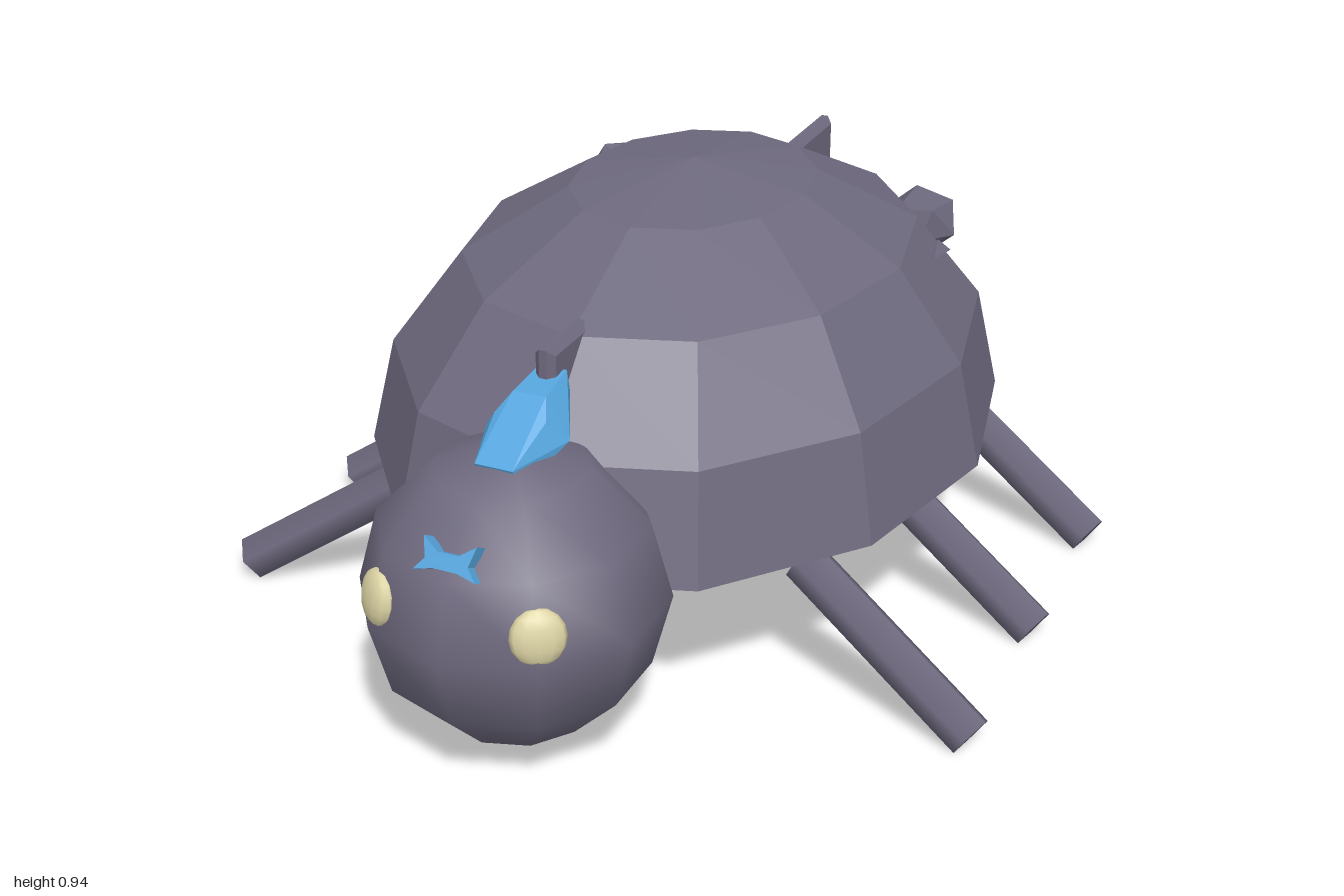
import * as THREE from 'three';
import { ConvexGeometry } from 'three/addons/geometries/ConvexGeometry.js';

// give every face its own normal
function facet(geometry) {
  const g = geometry.index ? geometry.toNonIndexed() : geometry;
  g.computeVertexNormals();
  return g;
}

export function createModel() {
  const model = new THREE.Group();
  model.name = 'beetle';
  const material = (name, color) => {
    const m = new THREE.MeshStandardMaterial({ color });
    m.name = name;
    return m;
  };
  const grey = material('slate grey', 0x6e697e);
  const blue = material('sky blue', 0x55a5dd);
  const cream = material('cream', 0xdcd3a4);

  const add = (name, geometry, mat, x = 0, y = 0, z = 0) => {
    const mesh = new THREE.Mesh(geometry, mat);
    mesh.name = name;
    mesh.position.set(x, y, z);
    model.add(mesh);
    return mesh;
  };

  // faceted half-ellipsoid shell and its flat underside
  const dome = new THREE.SphereGeometry(1, 12, 4, 0, Math.PI * 2, 0, Math.PI / 2);
  dome.scale(0.67, 0.6, 0.84);
  add('shell', facet(dome), grey, 0, 0.355, -0.16);
  const base = new THREE.CircleGeometry(1, 12).rotateX(Math.PI / 2).scale(0.67, 1, 0.84);
  add('underside', base, grey, 0, 0.355, -0.16);

  // smooth head with a meridian at the very front
  const head = new THREE.SphereGeometry(0.31, 10, 6).rotateY(Math.PI / 2);
  add('head', head, grey, 0, 0.35, 0.69);

  // long bevelled keel that pokes out of the shell at front and back
  const keelShape = new THREE.Shape();
  keelShape.moveTo(-0.945, 0.42);
  keelShape.lineTo(0.54, 0.42);
  keelShape.lineTo(0.54, 0.785);
  keelShape.lineTo(-0.945, 0.785);
  const keel = new THREE.ExtrudeGeometry(keelShape, {
    depth: 0.016, bevelEnabled: true, bevelSegments: 1, bevelSize: 0.014, bevelThickness: 0.014,
  });
  keel.translate(0, 0, -0.008).rotateY(-Math.PI / 2);
  add('keel', keel, grey);

  for (const side of [-1, 1]) {
    // five-sided splayed legs
    for (const z of [0.285, -0.16, -0.605]) {
      const top = new THREE.Vector3(side * 0.445, 0.308, z);
      const foot = new THREE.Vector3(side * 0.845, 0.045, z + 0.09);
      const geometry = new THREE.CylinderGeometry(0.05, 0.05, top.distanceTo(foot), 5);
      geometry.rotateX(-Math.PI / 2);
      const leg = add('leg', geometry, grey);
      leg.position.copy(top).lerp(foot, 0.5);
      leg.lookAt(foot);
    }
    // oval eyes lying on the head
    const eyeShape = new THREE.SphereGeometry(1, 12, 8).scale(0.055, 0.058, 0.025);
    const eye = add('eye', eyeShape, cream, side * 0.17, 0.408, 0.918);
    eye.rotation.set(-0.15, side * 0.62, 0, 'YXZ');
  }

  // angular crest on top of the head
  const half = [
    [0.04, 0.645, 0.76], [0.045, 0.6, 0.74], [0.09, 0.655, 0.62], [0.055, 0.7, 0.65],
    [0.035, 0.732, 0.61], [0.03, 0.745, 0.51], [0.03, 0.7, 0.5], [0.05, 0.64, 0.57],
  ];
  const crestPoints = half.flatMap(([x, y, z]) => [
    new THREE.Vector3(x, y, z), new THREE.Vector3(-x, y, z),
  ]);
  add('crest', new ConvexGeometry(crestPoints), blue);

  // small bow on the forehead
  const bowShape = new THREE.Shape([
    [-0.065, -0.03], [-0.025, -0.02], [0.025, -0.02], [0.065, -0.03], [0.045, -0.005],
    [0.055, 0.035], [0.022, 0.012], [-0.022, 0.012], [-0.055, 0.035], [-0.045, -0.005],
  ].map(([x, y]) => new THREE.Vector2(x, y)));
  const bowGeometry = new THREE.ExtrudeGeometry(bowShape, { depth: 0.035, bevelEnabled: false });
  const bow = add('bow', bowGeometry, blue, 0, 0.527, 0.914);
  bow.rotation.x = -0.5;

  // rocky lumps on the shell
  const lump = (name, position, scale, rotation) => {
    const rock = facet(new THREE.IcosahedronGeometry(1, 0).scale(...scale));
    add(name, rock, grey, ...position).rotation.set(...rotation);
  };
  lump('largeLump', [-0.4, 0.625, -0.74], [0.165, 0.13, 0.165], [0, 0.4, 0]);
  lump('mediumLump', [0.365, 0.7, -0.65], [0.085, 0.075, 0.125], [-0.2, 0.35, -0.3]);

  // little thorn
  const thorn = facet(new THREE.ConeGeometry(0.03, 0.11, 4).scale(1, 1, 0.7));
  add('thorn', thorn, grey, 0.468, 0.712, -0.425).rotation.set(1.4, 0, -0.25);

  return model;
}
